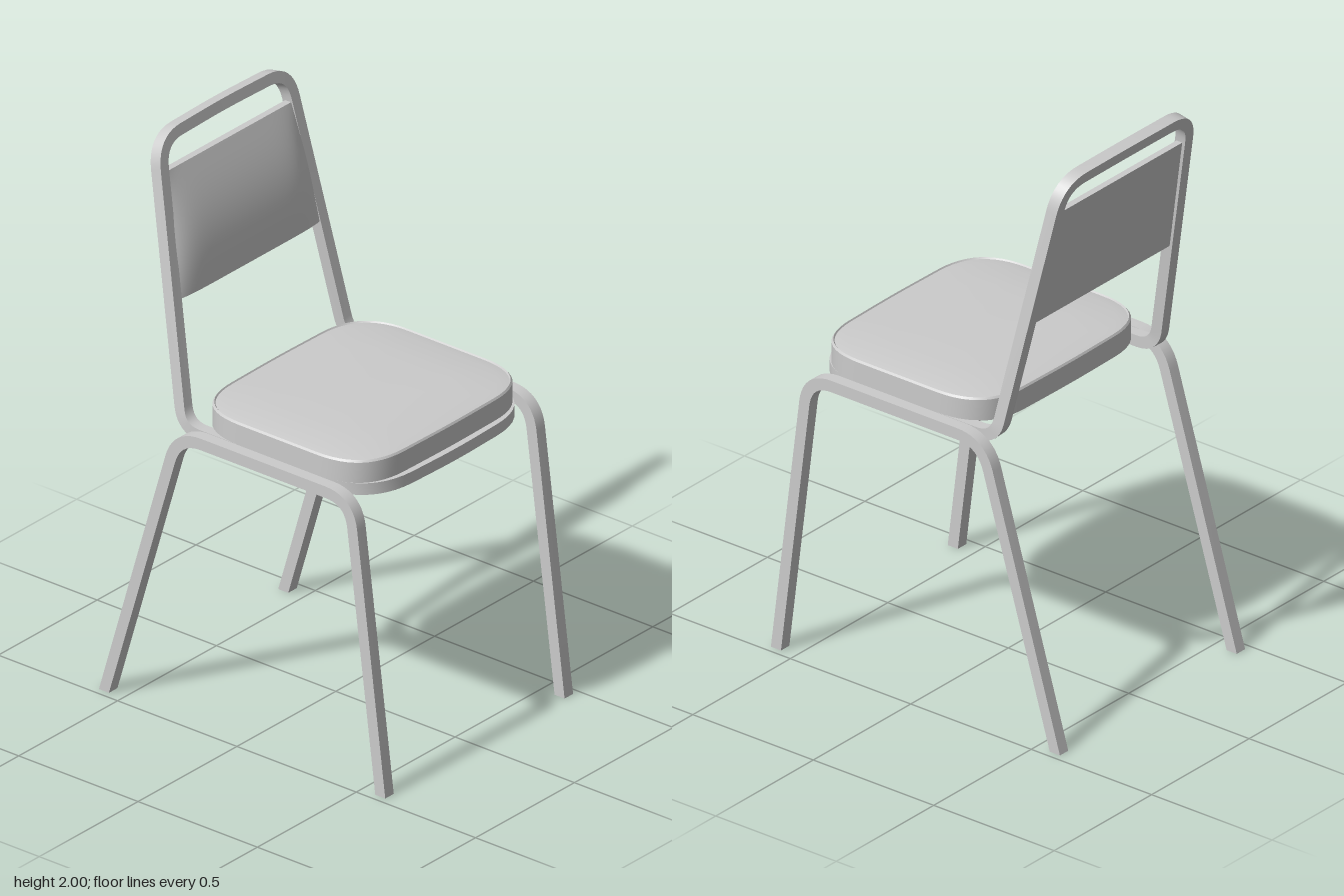
import * as THREE from 'three';
import { toCreasedNormals } from 'three/addons/utils/BufferGeometryUtils.js';

const V = (x, y, z) => new THREE.Vector3(x, y, z);
const material = new THREE.MeshStandardMaterial({ color: 0xcccccc });

function geometryFrom(positions, index) {
  const g = new THREE.BufferGeometry();
  g.setAttribute('position', new THREE.Float32BufferAttribute(positions, 3));
  g.setIndex(index);
  return toCreasedNormals(g, 0.45);
}

function addMesh(group, name, geometry) {
  const mesh = new THREE.Mesh(geometry, material);
  mesh.name = name;
  group.add(mesh);
  return mesh;
}

// Polyline whose corners [point, cut] are rounded over the cut length.
function roundedPath(corners, closed, steps = 10) {
  const n = corners.length, out = [];
  corners.forEach(([p, cut], i) => {
    if (!cut || (!closed && (i === 0 || i === n - 1))) return out.push(p);
    const toward = (q) => p.clone().add(q.clone().sub(p).setLength(cut));
    const a = toward(corners[(i + n - 1) % n][0]), b = toward(corners[(i + 1) % n][0]);
    out.push(...new THREE.QuadraticBezierCurve3(a, p, b).getPoints(steps));
  });
  return out;
}

// Square tube along a path; up(p) gives the direction of one pair of sides.
function squareTube(path, up, width, height, closed, endTangents) {
  const n = path.length, pos = [], index = [];
  path.forEach((p, i) => {
    const prev = path[closed ? (i + n - 1) % n : Math.max(i - 1, 0)];
    const next = path[closed ? (i + 1) % n : Math.min(i + 1, n - 1)];
    const t = p.clone().sub(prev).normalize().add(next.clone().sub(p).normalize()).normalize();
    if (!closed && i === 0) t.copy(endTangents[0]);
    if (!closed && i === n - 1) t.copy(endTangents[1]);
    const b = up(p);
    b.addScaledVector(t, -b.dot(t)).normalize();
    const s = b.clone().cross(t);
    for (const [u, v] of [[-1, -1], [1, -1], [1, 1], [-1, 1]]) {
      const q = p.clone().addScaledVector(s, u * width / 2).addScaledVector(b, v * height / 2);
      pos.push(q.x, q.y, q.z);
    }
  });
  for (let i = 0; i < (closed ? n : n - 1); i++) {
    for (let k = 0; k < 4; k++) {
      const a = i * 4 + k, b = i * 4 + (k + 1) % 4, j = ((i + 1) % n) * 4;
      const c = j + (k + 1) % 4, d = j + k;
      index.push(a, b, c, a, c, d);
    }
  }
  if (!closed) {
    const e = (n - 1) * 4;
    index.push(0, 2, 1, 0, 3, 2, e, e + 1, e + 2, e, e + 2, e + 3);
  }
  return geometryFrom(pos, index);
}

// Padded seat: the rounded outline lofted through [scale, height] rings.
function cushionGeometry() {
  const outline = roundedPath([
    [V(0.43, 0, 0.362), 0.2], [V(0.43, 0, -0.362), 0.2], [V(0, 0, -0.37), 0.1],
    [V(-0.43, 0, -0.362), 0.2], [V(-0.43, 0, 0.362), 0.2], [V(0, 0, 0.37), 0.1],
  ], true, 12);
  const rings = [[0, 1.05], [1, 1.05], [1, 1.125], [0.988, 1.132], [0.98, 1.127],
    [0.9, 1.133], [0.6, 1.139], [0.3, 1.141], [0, 1.141]];
  const n = outline.length, pos = [], index = [];
  rings.forEach(([s, y]) => outline.forEach((p) => pos.push(p.x * s, y, p.z * s + 0.112)));
  for (let r = 0; r < rings.length - 1; r++) {
    for (let i = 0; i < n; i++) {
      const a = r * n + i, b = r * n + (i + 1) % n;
      if (r > 0) index.push(a, b, b + n);
      if (r < rings.length - 2) index.push(a, b + n, a + n);
    }
  }
  return geometryFrom(pos, index);
}

// Back panel: flat behind, gently padded in front, tapering with the posts.
function backPanelGeometry() {
  const g = new THREE.BoxGeometry(2, 1, 1, 32, 14, 1);
  const p = g.attributes.position;
  for (let i = 0; i < p.count; i++) {
    const u = p.getX(i), v = p.getY(i) + 0.5;
    const y = 1.45 + 0.42 * v;
    const centre = -0.31 - 0.2 * (y - 1.13);
    const fade = 1 - Math.pow(Math.abs(u), 8);
    const pad = 0.012 + fade * (0.012 * (1 - v) + 0.024 * Math.sin(Math.PI * v));
    p.setXYZ(i, u * (0.405 - 0.097 * (y - 1.13) - 0.005), y,
      centre + (p.getZ(i) > 0 ? pad : -0.012));
  }
  return toCreasedNormals(g, 0.6);
}

export function createModel() {
  const chair = new THREE.Group();
  chair.name = 'chair';

  // Side frames: front leg, seat rail and back leg in one bent tube
  const legPath = roundedPath([
    [V(0, 0, 0.58)], [V(0, 1.031, 0.45), 0.1], [V(0, 1.031, -0.272), 0.1], [V(0, 0, -0.578)],
  ], false);
  const legs = squareTube(legPath, () => V(1, 0, 0), 0.042, 0.043, false, [V(0, 1, 0), V(0, -1, 0)]);
  for (const side of [1, -1]) {
    addMesh(chair, side > 0 ? 'leftLegFrame' : 'rightLegFrame', legs).position.x = side * 0.4535;
  }

  // Seat and back frame: a closed loop bent upward behind the seat
  const half = [
    [V(0.41, 1.031, 0.472), 0.2], [V(0.41, 1.031, -0.29), 0.075], [V(0.322, 1.976, -0.482), 0.1],
  ];
  const mirrored = half.map(([p, c]) => [V(-p.x, p.y, p.z), c]).reverse();
  const loop = roundedPath([
    [V(0, 1.031, 0.486), 0.1], ...half, [V(0, 1.981, -0.486), 0.1], ...mirrored,
  ], true);
  const up = (p) => {
    const k = THREE.MathUtils.smoothstep(p.y, 1.031, 1.11);
    return V(0, 1, 0).lerp(V(0, 0.2, 0.98), k);
  };
  addMesh(chair, 'seatAndBackFrame', squareTube(loop, up, 0.04, 0.042, true));

  // Upholstery
  addMesh(chair, 'seatCushion', cushionGeometry());
  addMesh(chair, 'backPanel', backPanelGeometry());

  return chair;
}
